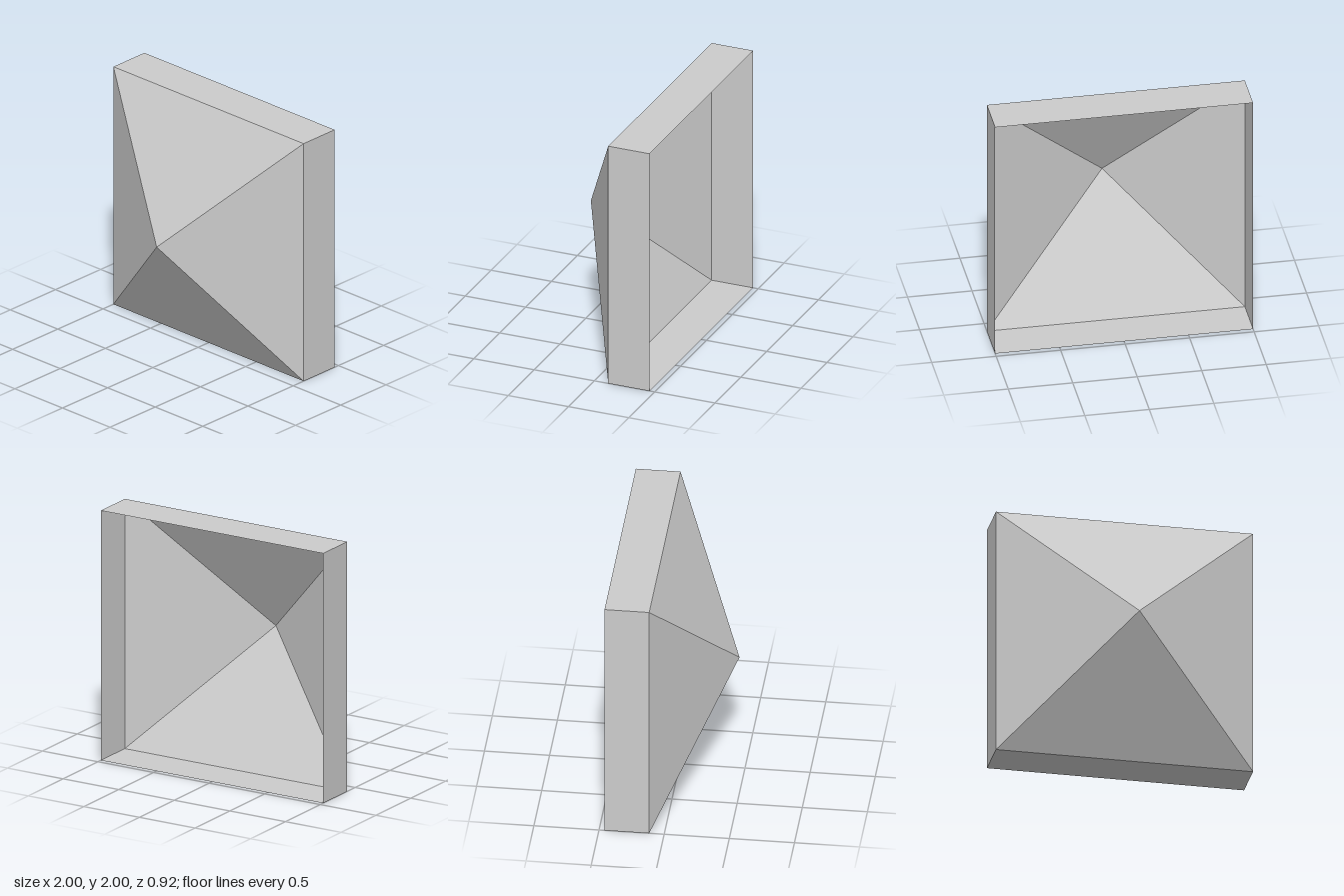
import * as THREE from 'three';

export function createModel() {
  const group = new THREE.Group();
  const material = new THREE.MeshStandardMaterial({
    color: 0xcccccc, flatShading: true, side: THREE.DoubleSide,
  });
  const radius = Math.SQRT2; // corner radius of a 2 x 2 square
  const back = -0.458, rim = -0.115, apex = 0.458;

  // Open four-sided shell running along z from z0 to z1
  function addShell(name, frontRadius, z0, z1) {
    const geometry = new THREE.CylinderGeometry(frontRadius, radius, z1 - z0, 4, 1, true, Math.PI / 4);
    geometry.rotateX(Math.PI / 2);
    const mesh = new THREE.Mesh(geometry, material);
    mesh.name = name;
    mesh.position.set(0, 1, (z0 + z1) / 2);
    group.add(mesh);
  }

  // Square frame, open at the back
  addShell('frame', radius, back, rim);
  // Hollow pyramid closing the front
  addShell('pyramidFront', 0, rim, apex);

  return group;
}
